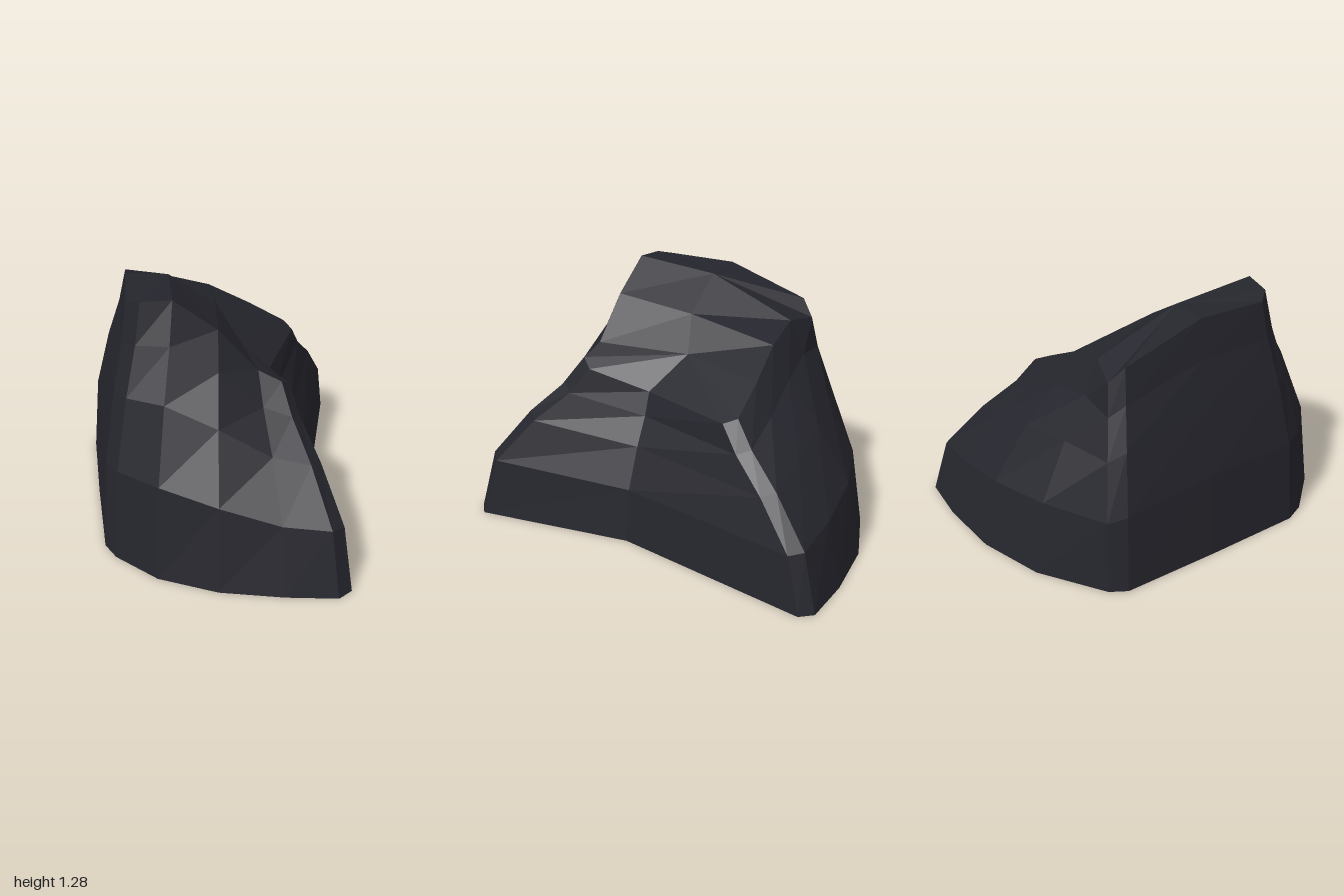
import * as THREE from 'three';

// Columns round the rock: foot x, z, then rim x, y, z (counter-clockwise from above)
const COLUMNS = [
  [-0.54, 0.56, -0.41, 1.25, 0.40], // front left corner
  [-0.48, 0.66, -0.34, 1.27, 0.46],
  [-0.27, 0.84, -0.19, 1.28, 0.465],
  [0.02, 0.95, 0.02, 1.13, 0.46],
  [0.33, 0.99, 0.21, 0.92, 0.46],
  [0.58, 1.00, 0.32, 0.87, 0.48], // front right corner
  [0.645, 0.94, 0.36, 0.83, 0.42],
  [0.50, 0.12, 0.27, 0.74, 0.12], // inward crease
  [0.665, -0.94, 0.43, 0.745, -0.40], // back right corner
  [0.61, -1.00, 0.39, 0.77, -0.46],
  [0.34, -0.995, 0.20, 0.88, -0.45],
  [0.00, -0.94, -0.02, 1.00, -0.42],
  [-0.33, -0.80, -0.24, 1.06, -0.40],
  [-0.63, -0.55, -0.42, 1.03, -0.43], // back left corner
  [-0.67, -0.46, -0.46, 1.11, -0.36],
  [-0.61, 0.05, -0.43, 1.25, 0.05],
];

// Bulging side profile: [fraction of height, fraction of inward lean]
const PROFILE = [[0, 0], [0.37, 0.145], [0.65, 0.5], [0.84, 0.82], [1, 1]];

// Points inside the top surface, numbered after the rim points
const TOP_POINTS = [[-0.22, 1.24, 0.04], [0.01, 1.09, 0.03], [0.08, 0.90, 0.01]];
const TOP_FACES = [
  [16, 15, 0, 1, 2], [16, 2, 3, 17], [17, 3, 4, 18], [18, 4, 5, 6], [18, 6, 7],
  [18, 7, 8, 9, 10], [18, 10, 11, 17], [17, 11, 12, 16], [16, 12, 13, 14, 15],
];

function rockGeometry() {
  const n = COLUMNS.length;
  const positions = [];
  const index = [];

  // Rings of the sides, from foot to rim
  for (const [rise, lean] of PROFILE) {
    for (const [bx, bz, tx, ty, tz] of COLUMNS) {
      positions.push(bx + (tx - bx) * lean, ty * rise, bz + (tz - bz) * lean);
    }
  }
  for (let r = 0; r < PROFILE.length - 1; r++) {
    for (let i = 0; i < n; i++) {
      const a = r * n + i;
      const b = r * n + ((i + 1) % n);
      index.push(a, b, b + n, a, b + n, a + n);
    }
  }

  // Sloping top with its notch
  const rim = (PROFILE.length - 1) * n;
  for (const p of TOP_POINTS) positions.push(...p);
  for (const face of TOP_FACES) {
    for (let k = 1; k < face.length - 1; k++) {
      index.push(rim + face[0], rim + face[k], rim + face[k + 1]);
    }
  }

  // Flat underside
  const centre = positions.length / 3;
  positions.push(0, 0, 0);
  for (let i = 0; i < n; i++) index.push(centre, (i + 1) % n, i);

  const geometry = new THREE.BufferGeometry();
  geometry.setAttribute('position', new THREE.Float32BufferAttribute(positions, 3));
  geometry.setIndex(index);
  const flat = geometry.toNonIndexed();
  flat.computeVertexNormals();
  return flat;
}

export function createModel() {
  const group = new THREE.Group();
  group.name = 'boulder';
  const stone = new THREE.MeshStandardMaterial({ color: 0x25252d, flatShading: true });
  const rock = new THREE.Mesh(rockGeometry(), stone);
  rock.name = 'rock';
  group.add(rock);
  return group;
}
